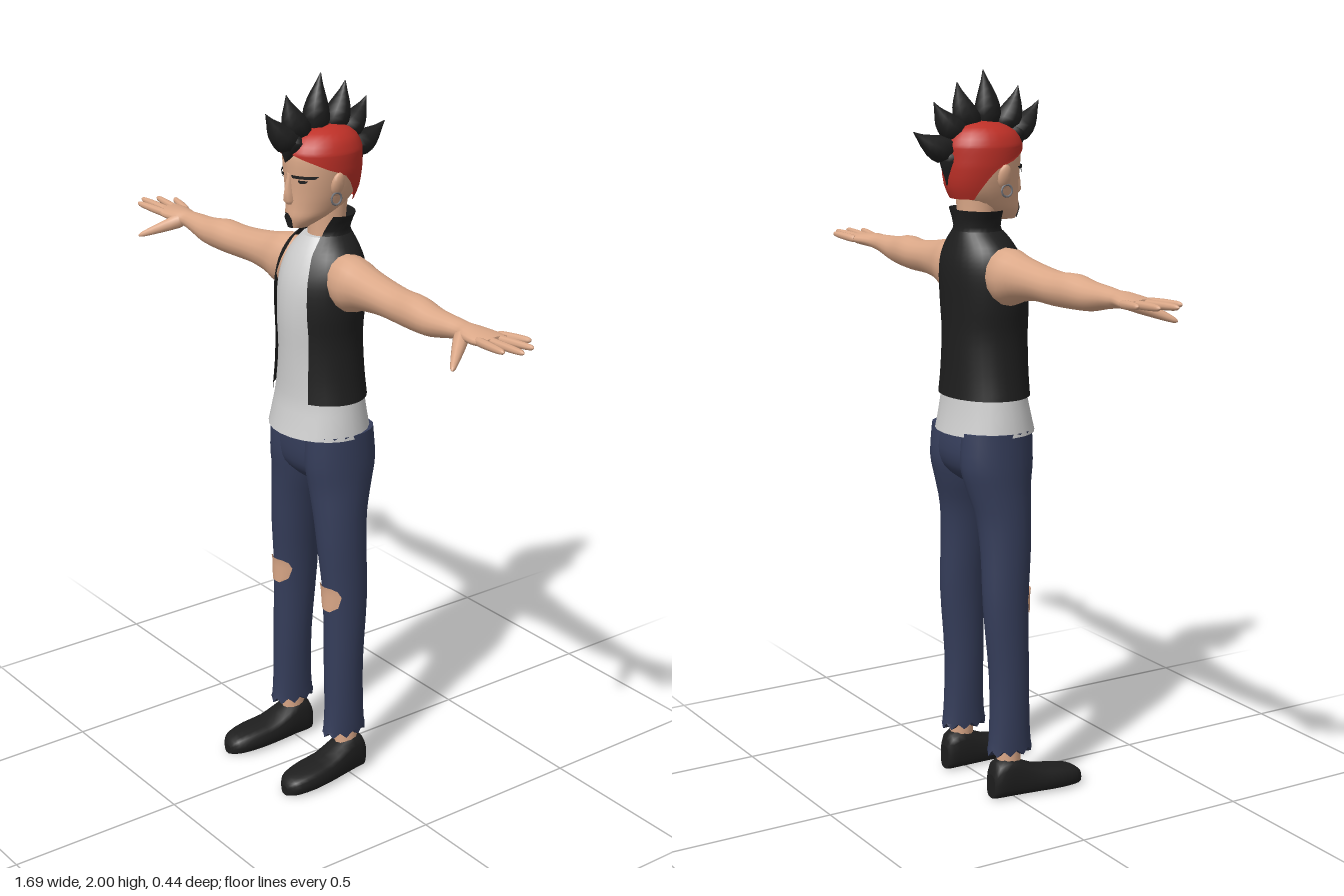
import * as THREE from 'three';

const mat = (name, color, side = THREE.FrontSide) => {
  const m = new THREE.MeshStandardMaterial({ color, side });
  m.name = name;
  return m;
};

// Catmull-Rom subdivision of every ring component
function smooth(rings, sub) {
  if (sub < 2) return rings;
  const out = [], last = rings.length - 1;
  for (let i = 0; i < last; i++) {
    const p = [Math.max(i - 1, 0), i, i + 1, Math.min(i + 2, last)].map(k => rings[k]);
    for (let s = 0; s < sub; s++) {
      const t = s / sub;
      out.push(p[1].map((b, k) => {
        const a = p[0][k], c = p[2][k], d = p[3][k];
        return b + 0.5 * t * (c - a + t * (2 * a - 5 * b + 4 * c - d + t * (3 * (b - c) + d - a)));
      }));
    }
  }
  out.push(rings[last]);
  return out;
}

// Skin over elliptical rings [t, c1, c2, r1, r2, start?, end?] along an axis.
// For axis y the order is (y, z, x); angle 0 faces the front.
function loft(rings, { n = 16, axis = 'y', sub = 3, power = 1, zig = 0 } = {}) {
  const pos = [], idx = [], open = rings[0].length > 5;
  const rows = smooth(rings, sub), cols = open ? n + 1 : n;
  const put = (t, a, b) => pos.push(...(axis === 'y' ? [b, t, a] : axis === 'x' ? [t, a, b] : [a, b, t]));
  const bend = v => Math.sign(v) * Math.abs(v) ** power;
  const ringPoints = (r, i) => {
    const from = open ? (r.length > 6 ? r[5] : Math.max(r[5], 0)) : 0;
    const to = r.length > 6 ? r[6] : Math.PI * 2 - from;
    for (let j = 0; j < cols; j++) {
      const a = from + (to - from) * j / n;
      const t = r[0] + (i === 0 && j % 2 ? zig : 0);
      put(t, r[1] + r[3] * bend(Math.cos(a)), r[2] + r[4] * bend(Math.sin(a)));
    }
  };
  rows.forEach(ringPoints);
  for (let i = 0; i < rows.length - 1; i++) {
    for (let j = 0; j < n; j++) {
      const k = (j + 1) % cols, a = i * cols + j, b = i * cols + k;
      idx.push(a, b, b + cols, a, b + cols, a + cols);
    }
  }
  if (!open) {
    [0, rows.length - 1].forEach(i => {
      const base = pos.length / 3, r = rows[i];
      ringPoints(r, i);
      put(r[0], r[1], r[2]);
      for (let j = 0; j < n; j++) {
        const k = (j + 1) % n;
        idx.push(base + n, base + (i ? j : k), base + (i ? k : j));
      }
    });
  }
  const g = new THREE.BufferGeometry();
  g.setAttribute('position', new THREE.Float32BufferAttribute(pos, 3));
  g.setIndex(idx);
  g.computeVertexNormals();
  return g;
}

// Tapered, bulging rod from one point to another; profile rows are [t, radius]
function rod(a, b, profile, { n = 8, flat = 1, bow = 0 } = {}) {
  const from = new THREE.Vector3(...a), dir = new THREE.Vector3(...b).sub(from), len = dir.length();
  const g = loft(profile.map(([t, r]) => [t * len, bow * Math.sin(Math.PI * t), 0, r, r * flat]), { n, sub: 2 });
  g.applyQuaternion(new THREE.Quaternion().setFromUnitVectors(new THREE.Vector3(0, 1, 0), dir.normalize()));
  return g.translate(...a);
}

function mirrored(geo) {
  const g = geo.clone().scale(-1, 1, 1), ix = g.index.array;
  for (let i = 0; i < ix.length; i += 3) [ix[i], ix[i + 1]] = [ix[i + 1], ix[i]];
  g.computeVertexNormals();
  return g;
}

export function createModel() {
  const model = new THREE.Group();
  model.name = 'punkFigure';
  const skin = mat('skin', 0xdba888, THREE.DoubleSide);
  const red = mat('redHair', 0xbe3027, THREE.DoubleSide);
  const black = mat('black', 0x1e1e1e, THREE.DoubleSide);
  const shirtGrey = mat('shirtGrey', 0xcdcdcd);
  const denim = mat('denim', 0x353d5a);
  const steel = mat('steel', 0x77777c);
  const add = (name, geo, material) => {
    const m = new THREE.Mesh(geo, material);
    m.name = name;
    model.add(m);
  };
  const pair = (name, geo, material) => {
    add(name + 'Left', geo, material);
    add(name + 'Right', mirrored(geo), material);
  };

  // Head and neck
  add('head', loft([
    [1.603, .06, 0, .028, .022], [1.63, .035, 0, .06, .05], [1.66, .005, 0, .088, .066],
    [1.70, -.01, 0, .102, .08], [1.75, -.012, 0, .106, .09], [1.80, -.012, 0, .106, .093],
    [1.835, -.015, 0, .09, .08], [1.858, -.02, 0, .045, .04]], { n: 20 }), skin);
  add('neck', loft([[1.5, -.03, 0, .055, .055], [1.6, -.03, 0, .05, .05], [1.69, -.03, 0, .06, .055]], { sub: 1 }), skin);
  add('nose', loft([[1.668, .088, 0, .012, .009], [1.678, .088, 0, .022, .015], [1.70, .09, 0, .019, .01],
    [1.75, .09, 0, .008, .007]], { n: 8, sub: 1 }), skin);
  add('goatee', loft([[1.604, .06, 0, .033, .026, -.5, .5], [1.63, .035, 0, .064, .054, -.3, .3],
    [1.645, .02, 0, .08, .063, -.08, .08]], { n: 6, sub: 1 }), black);
  pair('brow', loft([[1.741, -.012, 0, .110, .094, .2, .85], [1.749, -.012, 0, .110, .094, .16, .95]], { n: 6, sub: 1 }), black);
  pair('eye', loft([[1.729, -.012, 0, .109, .091, .42, .6], [1.737, -.012, 0, .109, .092, .38, .68]], { n: 4, sub: 1 }), black);
  pair('ear', new THREE.SphereGeometry(1, 10, 8).scale(.012, .034, .02).rotateZ(-.25).translate(.091, 1.725, .002), skin);
  pair('earring', new THREE.TorusGeometry(.016, .003, 6, 14).rotateY(Math.PI / 2).translate(.093, 1.688, .008), steel);

  // Cropped hair with a hairline that sweeps behind the ears
  add('croppedHair', loft([
    [1.665, -.003, 0, .102, .076, 2.3], [1.70, -.012, 0, .108, .086, 2.0], [1.745, -.013, 0, .112, .096, 1.65],
    [1.765, -.013, 0, .112, .098, 1.2], [1.785, -.013, 0, .112, .099, .75], [1.80, -.013, 0, .112, .099, .3],
    [1.81, -.013, 0, .11, .097, 0], [1.84, -.015, 0, .093, .083, 0], [1.863, -.02, 0, .05, .045, 0],
    [1.868, -.02, 0, .001, .001, 0]], { n: 24, sub: 2 }), red);

  // Mohawk: ridge over the skull plus a fan of curved spikes, [z, y] base to [z, y] tip
  const ridge = [[.09, 1.80], [.07, 1.83], [0, 1.857], [-.08, 1.84], [-.115, 1.78], [-.114, 1.74]];
  add('mohawkRidge', new THREE.TubeGeometry(new THREE.CatmullRomCurve3(
    ridge.map(([z, y]) => new THREE.Vector3(0, y, z))), 20, .018, 8), black);
  const blade = [[0, .022], [.25, .038], [.55, .028], [.8, .012], [1, .001]];
  [[.07, 1.82, .165, 1.915, .012], [.045, 1.84, .1, 1.955, .01], [.005, 1.845, -.01, 2.0, .005],
    [-.04, 1.845, -.09, 1.97, -.008], [-.075, 1.83, -.16, 1.92, -.012], [-.1, 1.79, -.222, 1.845, -.012],
    [-.1, 1.80, -.122, 1.70, -.004], [.075, 1.85, .104, 1.78, 0]
  ].forEach(([z, y, tz, ty, bow], i) =>
    add('mohawkSpike' + (i + 1), rod([0, y, z], [0, ty, tz], blade, { bow, flat: i > 5 ? 1.05 : .95 }), black));

  // Shirt
  add('shirt', loft([
    [1.03, -.005, 0, .13, .155], [1.08, -.006, 0, .119, .147], [1.14, -.007, 0, .110, .136], [1.25, -.003, 0, .106, .116],
    [1.36, -.002, 0, .109, .118], [1.45, -.008, 0, .105, .122], [1.52, -.018, 0, .088, .105],
    [1.572, -.025, 0, .062, .06]], { n: 24 }), shirtGrey);

  // Open sleeveless vest with a standing collar
  add('vest', loft([
    [1.13, -.007, 0, .117, .147, .58], [1.2, -.006, 0, .114, .135, .6], [1.3, -.005, 0, .113, .127, .64],
    [1.38, -.006, 0, .114, .137, .57], [1.45, -.01, 0, .112, .140, .53], [1.5, -.016, 0, .102, .133, .5],
    [1.54, -.021, 0, .086, .113, .5], [1.578, -.027, 0, .067, .072, .7]], { n: 28 }), black);
  add('collar', loft([[1.56, -.027, 0, .072, .078, .65], [1.59, -.028, 0, .063, .068, .8],
    [1.635, -.03, 0, .067, .092, 1.0]], { n: 20, sub: 2 }), black);

  // Arms and hands
  pair('arm', loft([
    [.08, 1.47, -.01, .065, .055], [.14, 1.465, -.01, .077, .067], [.2, 1.468, -.008, .06, .058],
    [.28, 1.467, -.005, .048, .052], [.36, 1.463, -.003, .045, .048], [.43, 1.465, .003, .046, .047],
    [.5, 1.462, .007, .038, .041], [.57, 1.468, .007, .028, .033], [.61, 1.47, .006, .023, .030],
    [.64, 1.472, .008, .021, .038], [.69, 1.472, .004, .017, .047], [.725, 1.475, .001, .011, .042]], { axis: 'x' }), skin);
  const finger = [[0, .8], [.1, 1], [.5, .95], [.85, .75], [.96, .5], [1, .1]].map(([t, r]) => [t, r * .0115]);
  [[-.034, .785, -.056], [-.011, .83, -.024], [.013, .845, .02], [.035, .812, .054]].forEach(([z, tx, tz], i) =>
    pair('finger' + (i + 1), rod([.69, 1.473, z], [tx, 1.481, tz], finger), skin));
  pair('thumb', rod([.625, 1.467, .025], [.705, 1.418, .122], finger.map(([t, r]) => [t, r * (1.9 - t)])), skin);

  // Jeans
  add('jeansSeat', loft([[.89, -.01, 0, .06, .08], [.925, -.014, 0, .095, .145], [.98, -.016, 0, .108, .157],
    [1.06, -.01, 0, .1, .147]], { n: 24, power: .9 }), denim);
  pair('jeansLeg', loft([
    [.125, 0, .125, .069, .043], [.2, 0, .125, .061, .045], [.35, 0, .122, .059, .049], [.55, -.008, .117, .067, .053],
    [.7, -.003, .108, .073, .06], [.8, -.004, .098, .08, .066], [.88, -.012, .086, .094, .074],
    [.95, -.016, .081, .107, .077], [1.04, -.014, .08, .103, .074]], { n: 20, zig: .018 }), denim);
  pair('kneeHole', loft([
    [.522, -.007, .118, .069, .055, -.3, .3], [.538, -.007, .1175, .0695, .0555, -.75, .75],
    [.57, -.008, .116, .071, .057, -.9, .9], [.588, -.007, .115, .072, .058, -.75, .75],
    [.596, -.006, .115, .0725, .0585, -.45, .45]], { n: 8, sub: 1 }), skin);

  // Ankles and shoes
  pair('ankle', loft([[.06, -.005, .13, .034, .03], [.17, -.005, .126, .036, .03]], { sub: 1, n: 12 }), skin);
  const shoe = [[-.062, .128, .07, .022], [-.048, .129, .104, .036], [-.01, .131, .116, .042], [.03, .133, .098, .046],
    [.08, .136, .074, .05], [.14, .139, .064, .053], [.19, .141, .054, .045], [.212, .142, .042, .03], [.221, .142, .028, .014]];
  pair('shoe', loft(shoe.map(([z, x, h, w]) => [z, x, h / 2, w, h / 2]), { axis: 'z', power: .7, sub: 2 }), black);

  return model;
}
